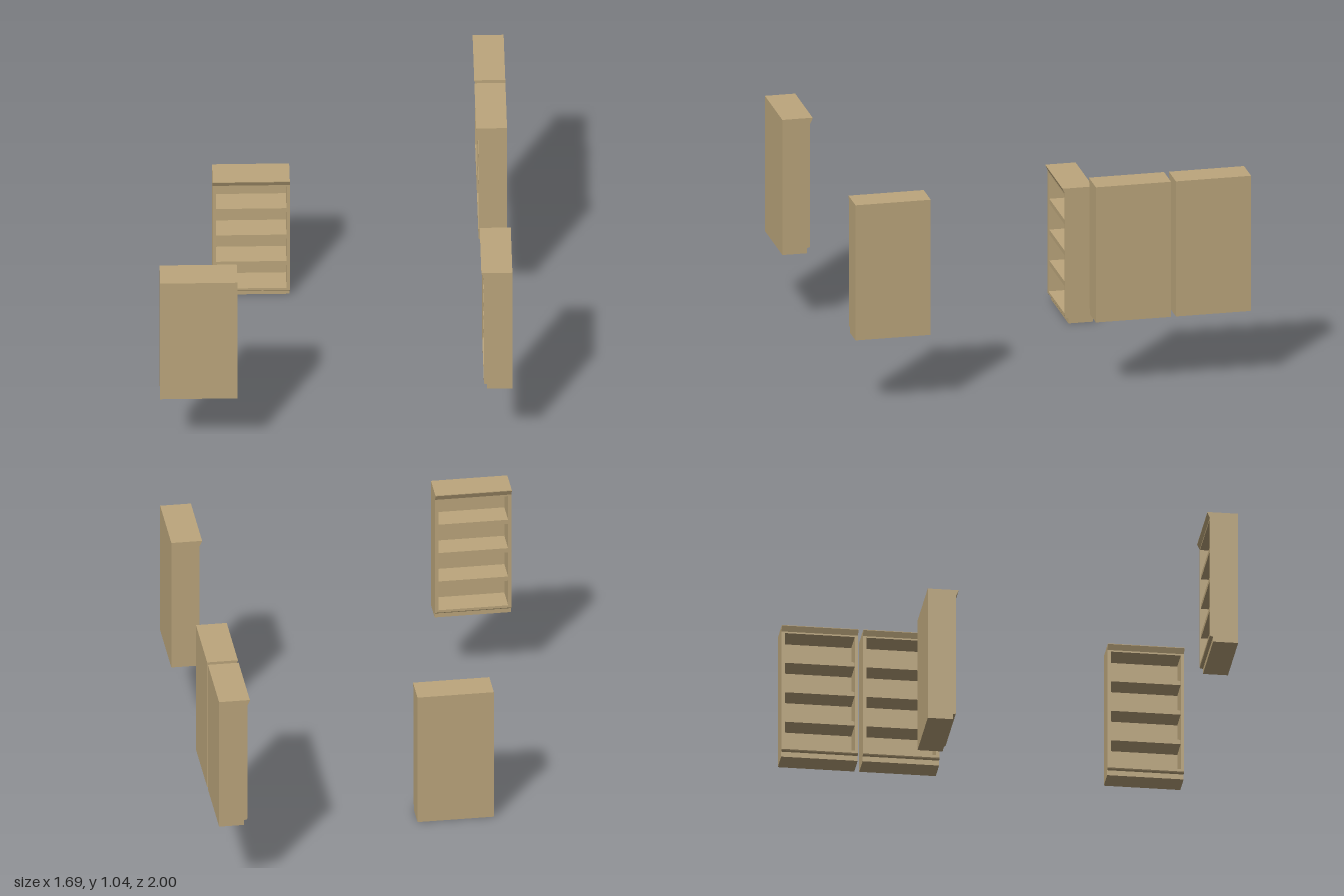
import * as THREE from 'three';

const W = 0.37, H = 0.684;          // bookcase width and height
const STILE = 0.016;                // side panel thickness
const FRONT = 0.137, CROWN = 0.149; // body and crown depth, back at z = 0
const TOE = 0.121;                  // recessed base depth

const material = new THREE.MeshStandardMaterial({ color: 0xbca67c });

// Extrudes a (depth, height) profile across x, centred on x
function profile(name, points, width, x = 0) {
  const shape = new THREE.Shape(points.map(([z, y]) => new THREE.Vector2(z, y)));
  const geo = new THREE.ExtrudeGeometry(shape, { depth: width, bevelEnabled: false });
  geo.rotateY(-Math.PI / 2);
  geo.translate(x + width / 2, 0, 0);
  const mesh = new THREE.Mesh(geo, material);
  mesh.name = name;
  return mesh;
}

// Box given by its height range and depth range
function board(name, width, y0, y1, z0, z1) {
  const mesh = new THREE.Mesh(new THREE.BoxGeometry(width, y1 - y0, z1 - z0), material);
  mesh.position.set(0, (y0 + y1) / 2, (z0 + z1) / 2);
  mesh.name = name;
  return mesh;
}

function createBookcase() {
  const g = new THREE.Group();
  const inner = W - 2 * STILE;

  // Side panels with toe notch
  const side = [[0, 0], [TOE, 0], [TOE, 0.026], [FRONT - 0.003, 0.029], [FRONT, 0.034],
    [FRONT, 0.655], [0, 0.655]];
  for (const s of [-1, 1]) {
    g.add(profile(s > 0 ? 'leftSide' : 'rightSide', side, STILE, s * (W - STILE) / 2));
  }

  // Flared crown across the full width
  g.add(profile('crown', [[0, 0.655], [FRONT, 0.655], [CROWN, 0.681], [CROWN, H], [0, H]], W));
  g.add(board('topRail', inner, 0.647, 0.655, 0.008, FRONT));

  // Back, toe board and bottom
  g.add(board('backPanel', inner, 0, 0.655, 0, 0.01));
  g.add(board('toeBoard', inner, 0, 0.03, 0.01, TOE));
  g.add(profile('bottomShelf', [[0.008, 0.026], [TOE, 0.026], [FRONT - 0.003, 0.029],
    [FRONT, 0.034], [FRONT, 0.047], [0.008, 0.047]], inner));

  // Shelves, slightly set back from the sides
  for (let i = 1; i < 4; i++) {
    const top = 0.047 + i * 0.156;
    g.add(board('shelf' + i, inner, top - 0.023, top, 0.008, FRONT - 0.004));
  }
  return g;
}

export function createModel() {
  const root = new THREE.Group();
  // x, y, z of the back centre, then the turn about y
  const places = [
    ['lowerBookcase', -0.381, 0, -0.464, 0],
    ['frontBookcase', -0.661, 0.357, 1, Math.PI],
    ['sideBookcaseFront', 0.844, 0.357, 0.762, -Math.PI / 2],
    ['sideBookcaseMiddle', 0.844, 0.357, -0.421, -Math.PI / 2],
    ['sideBookcaseBack', 0.844, 0.357, -0.815, -Math.PI / 2],
  ];
  for (const [name, x, y, z, turn] of places) {
    const b = createBookcase();
    b.name = name;
    b.position.set(x, y, z);
    b.rotation.y = turn;
    root.add(b);
  }
  return root;
}
